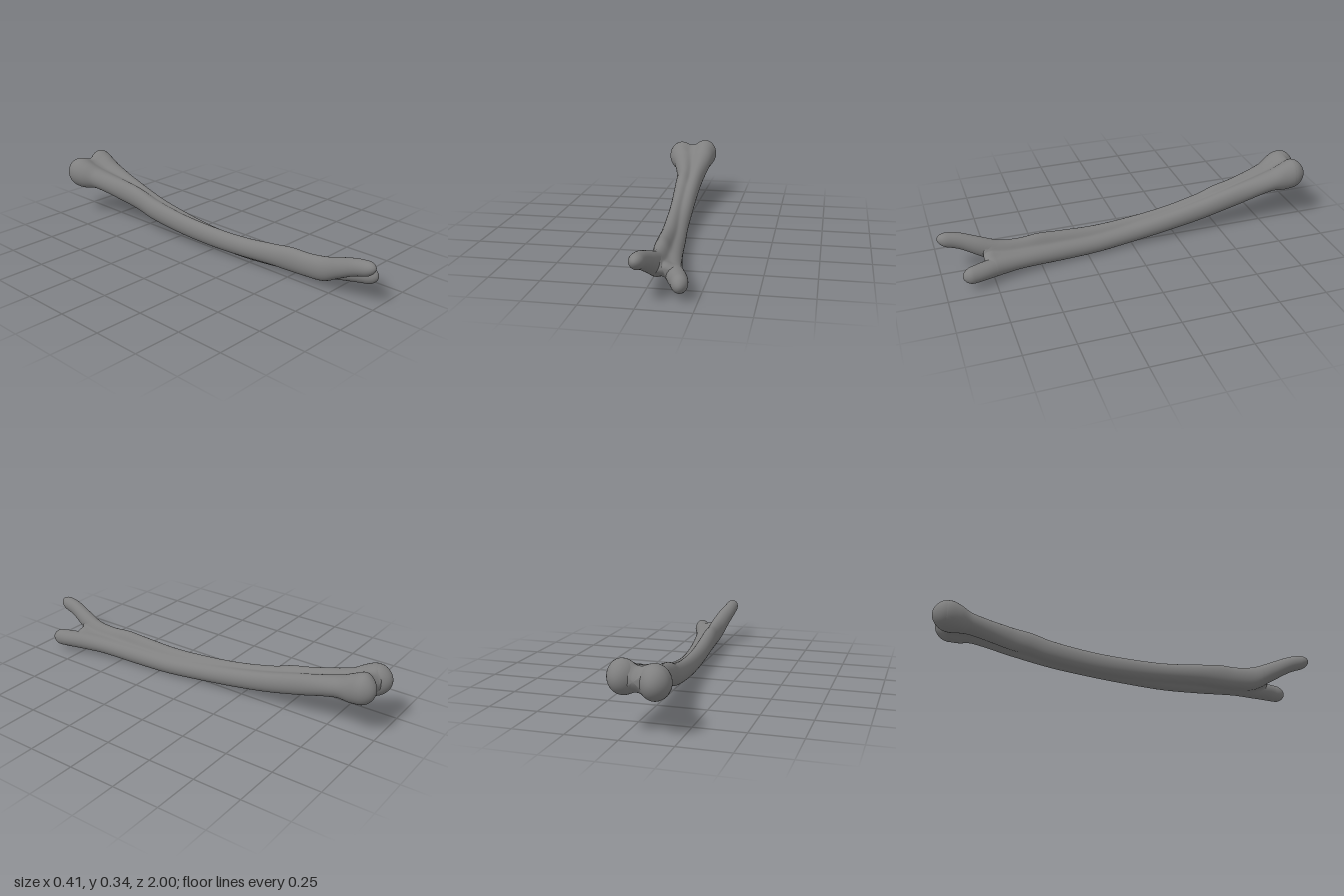
import * as THREE from 'three';

// Each strand row: z, centre x, centre y, radius x, radius y
const OUTER = [
  [-0.99, 0.012, 0.258, 0.06, 0.072], [-0.92, 0.006, 0.258, 0.068, 0.081],
  [-0.87, 0.006, 0.246, 0.06, 0.074], [-0.8, 0.003, 0.23, 0.055, 0.056],
  [-0.6, 0, 0.172, 0.04, 0.056], [-0.4, 0, 0.12, 0.038, 0.053],
  [-0.2, 0.008, 0.085, 0.038, 0.049], [0, 0.017, 0.06, 0.041, 0.047],
  [0.2, 0.037, 0.047, 0.042, 0.046], [0.4, 0.06, 0.052, 0.042, 0.046],
  [0.6, 0.09, 0.064, 0.043, 0.044], [0.7, 0.112, 0.068, 0.045, 0.046],
  [0.8, 0.146, 0.073, 0.047, 0.045], [0.86, 0.165, 0.074, 0.04, 0.044],
  [0.91, 0.17, 0.073, 0.035, 0.04],
];
const INNER = [
  [-1, -0.143, 0.245, 0.06, 0.07], [-0.91, -0.137, 0.242, 0.072, 0.081],
  [-0.86, -0.132, 0.234, 0.063, 0.071], [-0.8, -0.108, 0.222, 0.055, 0.055],
  [-0.6, -0.068, 0.178, 0.042, 0.058], [-0.5, -0.061, 0.159, 0.04, 0.058],
  [-0.4, -0.055, 0.129, 0.039, 0.056], [-0.2, -0.04, 0.096, 0.036, 0.053],
  [0, -0.024, 0.08, 0.037, 0.051], [0.2, -0.006, 0.077, 0.039, 0.05],
  [0.4, 0.01, 0.088, 0.04, 0.055], [0.5, 0.019, 0.092, 0.04, 0.061],
  [0.6, 0.029, 0.09, 0.04, 0.06], [0.7, 0.034, 0.1, 0.042, 0.062],
  [0.8, 0.022, 0.142, 0.042, 0.053], [0.9, 0.004, 0.183, 0.037, 0.043],
  [1, 0, 0.204, 0.033, 0.034],
];
const SIDES = 64, BACK = -0.97, FORK = 0.79;

const dome = (d, len) => (d >= len ? 1 : Math.sqrt(Math.max(0, 1 - (1 - d / len) ** 2)));

// Smooth interpolation of a strand row, with domed ends
function ellipseAt(rows, z) {
  const n = rows.length;
  let i = 0;
  while (i < n - 2 && z > rows[i + 1][0]) i++;
  const a = rows[i], b = rows[i + 1], h = b[0] - a[0];
  const t = THREE.MathUtils.clamp((z - a[0]) / h, 0, 1);
  const slope = (j, k) => {
    const p = rows[Math.max(j - 1, 0)], q = rows[Math.min(j + 1, n - 1)];
    return (q[k] - p[k]) / (q[0] - p[0]);
  };
  const e = [1, 2, 3, 4].map((k) =>
    (2 * t ** 3 - 3 * t * t + 1) * a[k] + (t ** 3 - 2 * t * t + t) * h * slope(i, k) +
    (3 * t * t - 2 * t ** 3) * b[k] + (t ** 3 - t * t) * h * slope(i + 1, k));
  const cap = dome(z - rows[0][0], 0.07) * dome(rows[n - 1][0] - z, 0.05);
  return { x: e[0], y: e[1], rx: e[2] * cap, ry: e[3] * cap };
}

// Skin a list of z stations; section(z) returns a function of angle giving [x, y]
function loft(stations, section) {
  const pos = [], index = [];
  stations.forEach((z, i) => {
    const point = section(z);
    for (let j = 0; j < SIDES; j++) {
      pos.push(...point((j / SIDES) * Math.PI * 2), z);
      if (i === stations.length - 1) continue;
      const a = i * SIDES + j, b = i * SIDES + ((j + 1) % SIDES);
      index.push(a, b, b + SIDES, a, b + SIDES, a + SIDES);
    }
  });
  const g = new THREE.BufferGeometry();
  g.setAttribute('position', new THREE.Float32BufferAttribute(pos, 3));
  g.setIndex(index);
  g.computeVertexNormals();
  return g;
}

// Rounded end of a strand, from its tip to a root buried in the shaft
function strandEnd(rows, tip, root) {
  const stations = Array.from({ length: 33 }, (_, i) =>
    tip + (root - tip) * (1 - Math.cos((i / 32) * Math.PI / 2)));
  if (tip > root) stations.reverse();
  return loft(stations, (z) => {
    const e = ellipseAt(rows, z);
    return (a) => [e.x + e.rx * Math.cos(a), e.y + e.ry * Math.sin(a)];
  });
}

// Blended outline around both strands and the web between them
function blendedSection(z) {
  const p = ellipseAt(OUTER, z), q = ellipseAt(INNER, z);
  const w = p.rx / (p.rx + q.rx);
  const cx = p.x + (q.x - p.x) * w, cy = p.y + (q.y - p.y) * w;
  const web = { x: cx, y: cy, rx: (p.x - q.x) / 2, ry: 0.32 * (p.ry + q.ry) };
  const inside = (x, y) => [p, q, web].reduce((sum, e) => {
    const d = ((x - e.x) / e.rx) ** 2 + ((y - e.y) / e.ry) ** 2;
    return sum + 1 / (d ** 3 + 1e-9);
  }, 0) > 1;
  // Round off towards the notch and the fork
  const scale = 1.004 * dome(z - BACK, 0.05) * dome(FORK - z, 0.05);
  return (a) => {
    const c = Math.cos(a), s = Math.sin(a);
    let r = 0, step = 0.004;
    while (step > 0.00002) {
      if (inside(cx + c * (r + step), cy + s * (r + step))) r += step;
      else step /= 2;
    }
    return [cx + c * r * scale, cy + s * r * scale];
  };
}

export function createModel() {
  const group = new THREE.Group();
  group.name = 'bone';
  const material = new THREE.MeshStandardMaterial({ color: 0x808080 });
  const add = (name, geometry) => {
    const mesh = new THREE.Mesh(geometry, material);
    mesh.name = name;
    group.add(mesh);
  };

  // Knuckles at the back, prongs at the front
  add('leftKnuckle', strandEnd(OUTER, -0.99, -0.88));
  add('rightKnuckle', strandEnd(INNER, -1, -0.88));
  add('lowerProng', strandEnd(OUTER, 0.91, 0.7));
  add('upperProng', strandEnd(INNER, 1, 0.7));

  // Shaft joins them with soft grooves, finely stepped at both ends
  const stations = Array.from({ length: 181 }, (_, i) =>
    BACK + (FORK - BACK) * (1 - Math.cos((i / 180) * Math.PI)) / 2);
  add('shaft', loft(stations, blendedSection));
  return group;
}
